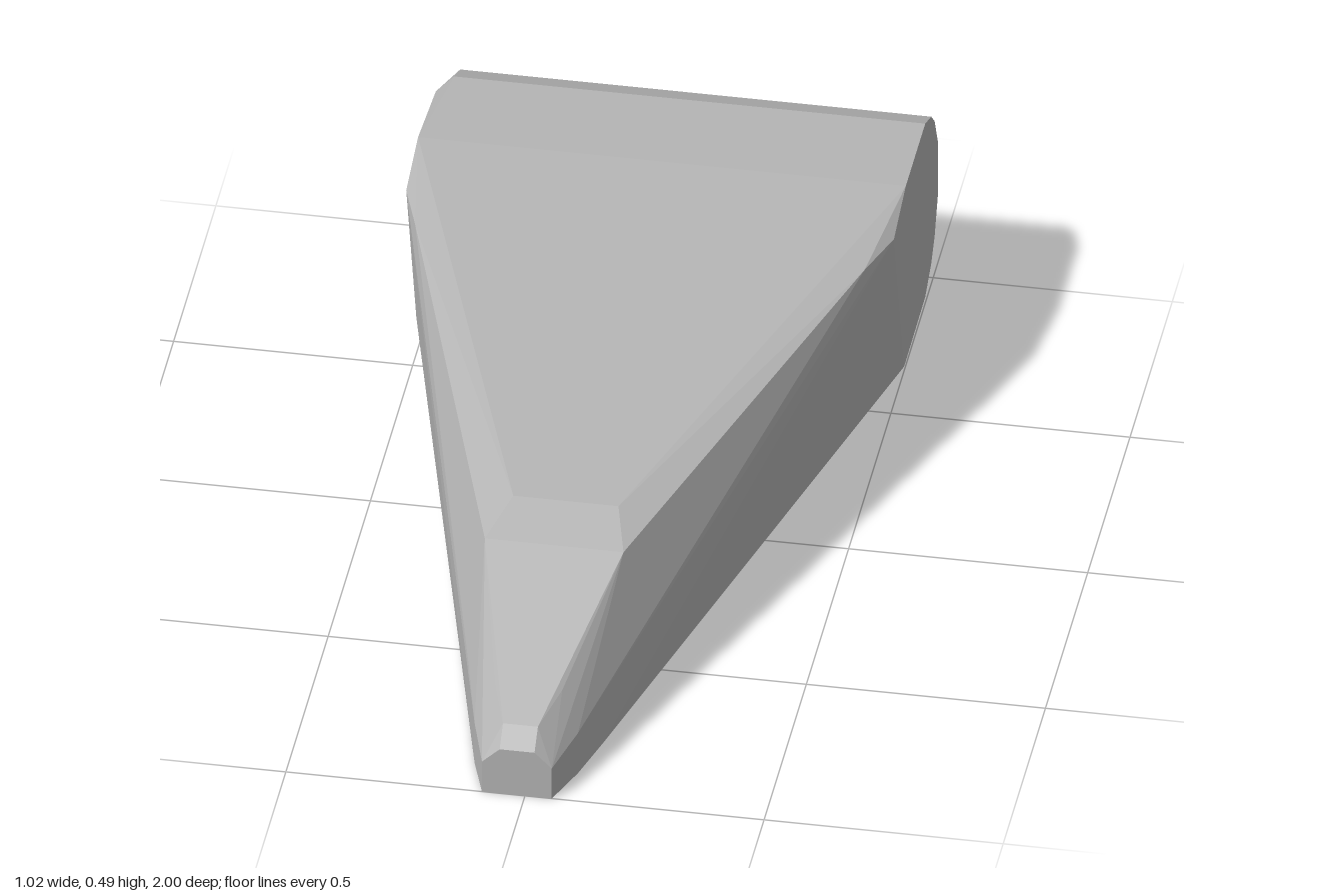
import * as THREE from 'three';
import { ConvexGeometry } from 'three/addons/geometries/ConvexGeometry.js';

export function createModel() {
  const group = new THREE.Group();
  const grey = new THREE.MeshStandardMaterial({ color: 0xb4b4b4 });
  grey.name = 'light grey';
  const points = [];

  // Adds a cross bar of the body: left and right ends at one height and depth
  const bar = (x0, x1, y, z) => points.push(
    new THREE.Vector3(x0, y, z), new THREE.Vector3(x1, y, z));

  // Rounded thick end, with its -x corner cut off
  bar(-0.51, 0.51, 0.488, -0.62);
  bar(-0.475, 0.51, 0.488, -0.85);
  bar(-0.475, 0.51, 0.458, -0.92);
  bar(-0.47, 0.51, 0.42, -0.96);
  bar(-0.47, 0.51, 0.345, -0.998);
  bar(-0.475, 0.51, 0.205, -0.998);
  bar(-0.5, 0.51, 0.13, -0.96);
  bar(-0.51, 0.51, 0.09, -0.92);
  bar(-0.51, 0.51, 0.055, -0.85);
  points.push(
    new THREE.Vector3(-0.51, 0.46, -0.83),
    new THREE.Vector3(-0.51, 0.27, -0.93));

  // Widest part of the sides, where the taper starts
  bar(-0.51, 0.51, 0.45, -0.48);
  bar(-0.47, 0.47, 0.45, -0.36);
  bar(-0.51, 0.51, 0.05, -0.6);

  // Front end of the top face
  bar(-0.12, 0.10, 0.37, 0.46);
  bar(-0.16, 0.13, 0.333, 0.57);

  // Nose shoulders
  bar(-0.16, 0.13, 0.145, 0.76);
  bar(-0.15, 0.125, 0.003, 0.79);
  bar(-0.123, 0.093, 0.1, 0.9);
  bar(-0.123, 0.093, 0, 0.9);
  bar(-0.085, 0.055, 0.183, 0.87);

  // Blunt tip
  bar(-0.053, 0.02, 0.148, 0.96);
  bar(-0.053, 0.02, 0.11, 1);
  bar(-0.09, 0.056, 0.075, 1);
  bar(-0.09, 0.056, 0, 1);

  const body = new THREE.Mesh(new ConvexGeometry(points), grey);
  body.name = 'wedgeBody';
  group.add(body);
  return group;
}
